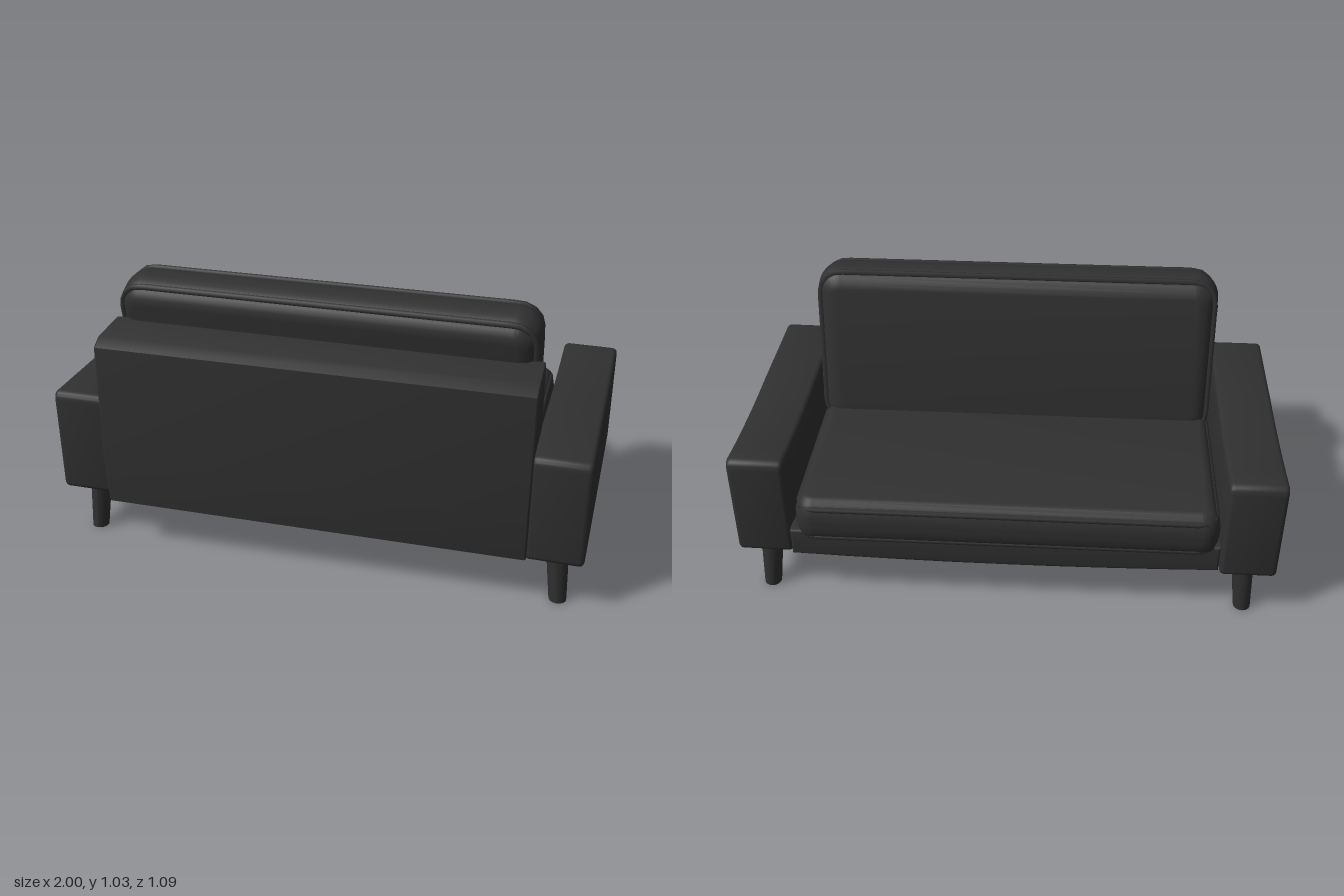
import * as THREE from 'three';
import { toCreasedNormals } from 'three/addons/utils/BufferGeometryUtils.js';

const leather = new THREE.MeshStandardMaterial({ color: 0x303030 });
leather.name = 'charcoal leather';

function add(parent, name, geometry) {
  const mesh = new THREE.Mesh(geometry, leather);
  mesh.name = name;
  parent.add(mesh);
  return mesh;
}

// Extrude an outline with a rounded bevel that stays inside it, centred in depth
function extrude(shape, depth, bevel, bevelDepth = bevel, segments = 3) {
  const geo = new THREE.ExtrudeGeometry(shape, {
    depth: depth - 2 * bevelDepth, bevelSize: bevel, bevelOffset: -bevel,
    bevelThickness: bevelDepth, bevelSegments: segments, curveSegments: 8,
  });
  geo.translate(0, 0, -depth / 2 + bevelDepth);
  return toCreasedNormals(geo, 0.7);
}

function roundedRect(w, h, r) {
  const s = new THREE.Shape();
  const x = w / 2, y = h / 2;
  s.absarc(x - r, y - r, r, 0, Math.PI / 2);
  s.absarc(-x + r, y - r, r, Math.PI / 2, Math.PI);
  s.absarc(-x + r, -y + r, r, Math.PI, Math.PI * 1.5);
  s.absarc(x - r, -y + r, r, Math.PI * 1.5, Math.PI * 2);
  s.closePath();
  return s;
}

// Plump cushion lying in xy, with a piping cord around each face
function cushion(name, w, h, thick, r, bevel) {
  const group = new THREE.Group();
  group.name = name;
  add(group, name + 'Body', extrude(roundedRect(w, h, r), thick, bevel, thick * 0.45, 5));
  const outline = roundedRect(w - 0.035, h - 0.035, r - 0.017).getSpacedPoints(90);
  for (const side of [-1, 1]) {
    const pts = outline.slice(0, -1).map(p => new THREE.Vector3(p.x, p.y, side * (thick / 2 - 0.033)));
    add(group, name + 'Piping', new THREE.TubeGeometry(new THREE.CatmullRomCurve3(pts, true), 120, 0.012, 6, true));
  }
  return group;
}

export function createModel() {
  const sofa = new THREE.Group();
  sofa.name = 'sofa';

  // Armrests with a gently dipped top
  for (const side of [-1, 1]) {
    const s = new THREE.Shape();
    s.moveTo(-0.47, 0.195);
    s.lineTo(0.47, 0.195);
    s.quadraticCurveTo(0.495, 0.195, 0.495, 0.22);
    s.lineTo(0.497, 0.575);
    s.quadraticCurveTo(0.497, 0.608, 0.46, 0.608);
    s.quadraticCurveTo(0.22, 0.583, -0.1, 0.599);
    s.lineTo(-0.47, 0.606);
    s.quadraticCurveTo(-0.497, 0.603, -0.497, 0.57);
    s.lineTo(-0.495, 0.22);
    s.quadraticCurveTo(-0.495, 0.195, -0.47, 0.195);
    const arm = add(sofa, side < 0 ? 'rightArm' : 'leftArm', extrude(s, 0.208, 0.018).rotateY(Math.PI / 2));
    arm.position.set(side < 0 ? -0.896 : 0.886, 0, side < 0 ? -0.02 : 0.013);
    if (side > 0) arm.rotation.y = -0.015;
  }

  // Backrest shell, leaning on its inner face; points are (z, y)
  const backProfile = [[0.53, 0.2], [0.545, 0.4], [0.535, 0.835], [0.49, 0.862],
    [0.33, 0.872], [0.28, 0.6], [0.22, 0.28], [0.22, 0.2]];
  const backShape = new THREE.Shape(backProfile.map(([z, y]) => new THREE.Vector2(-z, y)));
  const back = add(sofa, 'backrest', extrude(backShape, 1.57, 0.008).rotateY(Math.PI / 2));
  back.position.set(-0.005, 0, -0.01);
  back.rotation.y = 0.008;

  // Cushions
  const backCushion = cushion('backCushion', 1.54, 0.65, 0.208, 0.095, 0.075);
  backCushion.position.set(-0.006, 0.708, 0.21);
  backCushion.rotation.x = 0.165;
  sofa.add(backCushion);
  const seat = cushion('seatCushion', 1.54, 0.72, 0.19, 0.07, 0.05);
  seat.rotation.x = -Math.PI / 2;
  seat.position.set(-0.01, 0.382, -0.185);
  sofa.add(seat);

  // Seat platform, closing the recess inside the under-frame
  const platform = add(sofa, 'seatPlatform', new THREE.BoxGeometry(1.58, 0.1, 0.72));
  platform.position.set(0, 0.25, -0.08);

  // Front apron with a slightly bowed lower edge
  const apronShape = new THREE.Shape();
  apronShape.moveTo(-0.79, 0.2);
  apronShape.quadraticCurveTo(0, 0.17, 0.79, 0.2);
  apronShape.lineTo(0.79, 0.31);
  apronShape.lineTo(-0.79, 0.31);
  apronShape.closePath();
  add(sofa, 'frontApron', extrude(apronShape, 0.07, 0.01)).position.z = -0.46;

  // Under-frame rail
  const frame = roundedRect(1.72, 0.82, 0.01);
  frame.holes.push(roundedRect(1.6, 0.7, 0.01));
  const rail = add(sofa, 'underFrame', extrude(frame, 0.05, 0.006).rotateX(-Math.PI / 2));
  rail.position.set(0, 0.178, -0.005);

  // Tapered legs, leaning out to the corners
  for (const x of [-1, 1]) {
    for (const z of [-1, 1]) {
      const geo = new THREE.CylinderGeometry(0.041, 0.032, 0.21, 14);
      const pos = geo.attributes.position;
      for (let i = 0; i < pos.count; i++) {
        const y = pos.getY(i) + 0.105;
        pos.setXYZ(i, pos.getX(i) + x * (0.9 - 0.08 * y), y,
          pos.getZ(i) + (z > 0 ? 0.415 : -0.441) + x * 0.0125 - z * 0.055 * y);
      }
      geo.computeVertexNormals();
      add(sofa, (z > 0 ? 'back' : 'front') + (x > 0 ? 'Left' : 'Right') + 'Leg', geo);
    }
  }
  return sofa;
}
